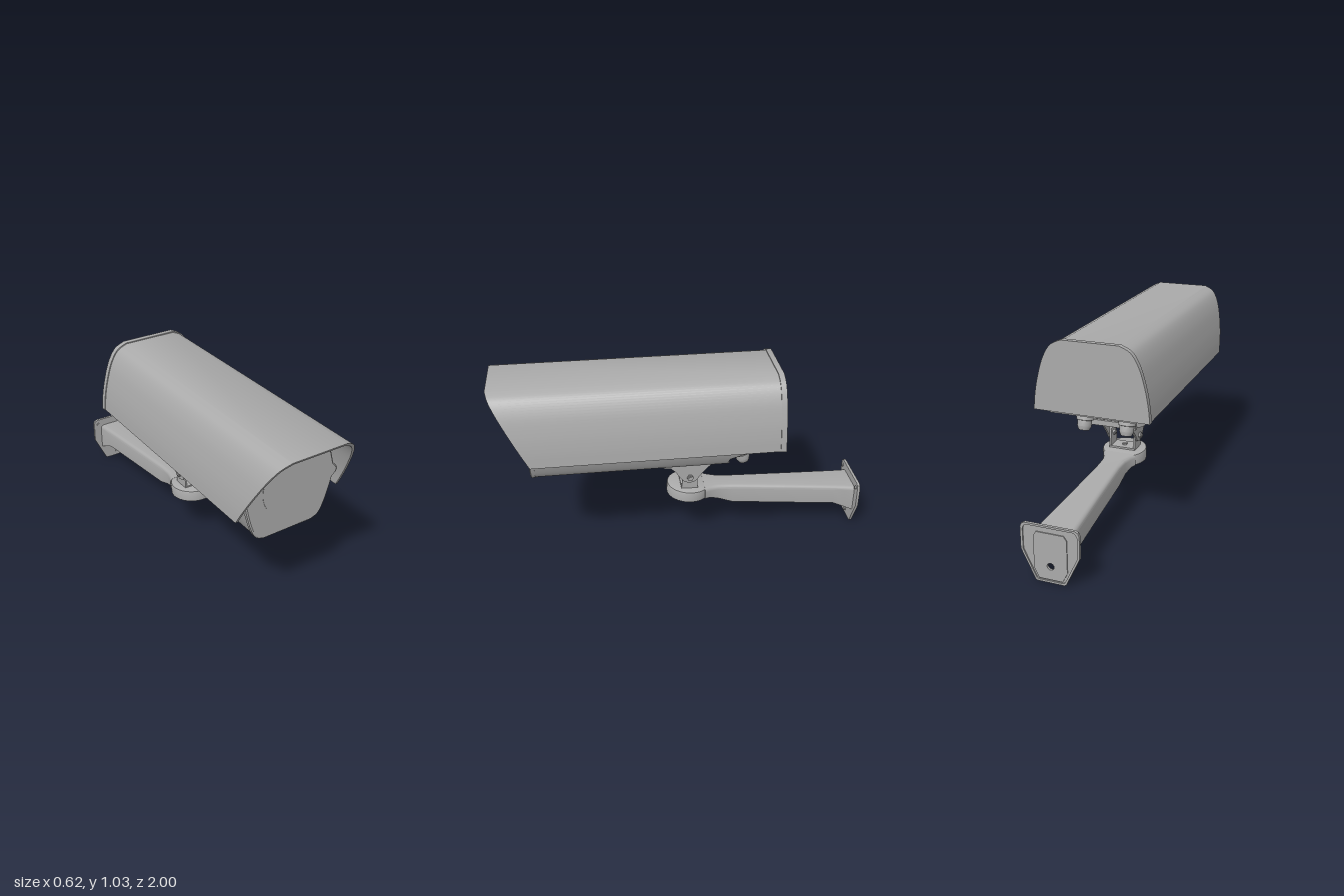
import * as THREE from 'three';
import { toCreasedNormals } from 'three/addons/utils/BufferGeometryUtils.js';

const metal = new THREE.MeshStandardMaterial({ color: 0xaaaaaa, side: THREE.DoubleSide });
metal.name = 'grey metal';

const V2 = (p) => new THREE.Vector2(p[0], p[1]);
const mirror = (half) => [...half, ...half.slice().reverse().map((p) => V2([-p.x, p.y]))];
const spline = (pts, n) => new THREE.SplineCurve(pts.map(V2)).getPoints(n);

// Skins counter-clockwise rings of Vector3 (ascending z) and caps both ends
function loft(rings, crease = 0.5) {
  const n = rings[0].length, pos = [], idx = [];
  rings.forEach((r) => r.forEach((p) => pos.push(p.x, p.y, p.z)));
  for (let i = 0; i < rings.length - 1; i++) {
    for (let j = 0; j < n; j++) {
      const a = i * n + j, b = i * n + (j + 1) % n;
      idx.push(a, b, b + n, a, b + n, a + n);
    }
  }
  const last = (rings.length - 1) * n;
  THREE.ShapeUtils.triangulateShape(rings[rings.length - 1].map((p) => V2([p.x, p.y])), [])
    .forEach(([a, b, c]) => idx.push(a + last, b + last, c + last, a, c, b));
  const g = new THREE.BufferGeometry();
  g.setAttribute('position', new THREE.Float32BufferAttribute(pos, 3));
  g.setIndex(idx);
  return toCreasedNormals(g, crease);
}

const ring = (profile, z, k = 1, cy = 0) => profile.map((p) =>
  new THREE.Vector3(p.x * k, cy + (p.y - cy) * k, typeof z === 'function' ? z(p) : z));

function plate(shape, depth, z) {
  const g = new THREE.ExtrudeGeometry(shape, { depth, bevelEnabled: false, curveSegments: 16 });
  return toCreasedNormals(g.translate(0, 0, z), 0.5);
}

// Plate drawn in (z, y) and centred on x
function sidePlate(shape, depth, x) {
  return plate(shape, depth, -depth / 2).rotateY(-Math.PI / 2).translate(x, 0, 0);
}

function circleHole(x, y, r) {
  return new THREE.Path().absarc(x, y, r, 0, Math.PI * 2, true);
}

export function createModel() {
  const group = new THREE.Group();
  const add = (name, geo, parent = group) => {
    const m = new THREE.Mesh(geo, metal);
    m.name = name;
    parent.add(m);
    return m;
  };
  const box = (name, w, h, d, x, y, z) =>
    add(name, new THREE.BoxGeometry(w, h, d)).position.set(x, y, z);
  const bolt = (name, r, len, axis, x, y, z, sides = 6) => {
    const m = add(name, toCreasedNormals(new THREE.CylinderGeometry(r, r, len, sides), 0.5));
    if (axis === 'x') m.rotation.z = Math.PI / 2;
    if (axis === 'z') m.rotation.x = Math.PI / 2;
    m.position.set(x, y, z);
  };

  // Sun hood: thin arch whose front edge is cut on a slant
  const arch = mirror(spline([[0.305, 0.66], [0.297, 0.74], [0.28, 0.83], [0.25, 0.93],
    [0.208, 1.0], [0.15, 1.03]], 30));
  const inner = arch.map((p) => V2([p.x * 0.957, 0.66 + (p.y - 0.66) * 0.965])).reverse();
  const hoodProfile = [...arch, ...inner];
  add('hood', loft([ring(hoodProfile, -0.49), ring(hoodProfile, (p) => 1 - (1.03 - p.y) * 0.515)]));
  add('hoodBackCap', loft([ring(arch, -0.508, 1.015, 0.66), ring(arch, -0.478, 1.015, 0.66)]));

  // Housing with side ribs; its underside rises toward the back
  const body = mirror([
    ...spline([[0.14, 0.515], [0.185, 0.535], [0.215, 0.59], [0.24, 0.67], [0.253, 0.725]], 20),
    ...spline([[0.262, 0.732], [0.277, 0.75], [0.277, 0.77], [0.262, 0.79]], 8),
    ...spline([[0.253, 0.8], [0.232, 0.87], [0.205, 0.945], [0.175, 0.985], [0.135, 1.002]], 20),
  ]);
  const floor = (z) => (z < -0.23 ? 0.575 + (-0.24 - z) * 0.285 : 0);
  add('housing', loft([-0.485, -0.24, -0.225, 0.8].map((z) =>
    ring(body, z).map((p) => p.setY(Math.max(p.y, floor(z)))))));
  add('frontRim', loft([ring(body, 0.795, 1.012, 0.76), ring(body, 0.815, 1.012, 0.76),
    ring(body, 0.82, 0.985, 0.76)]));
  add('window', new THREE.CylinderGeometry(0.163, 0.163, 0.004, 64).rotateX(Math.PI / 2))
    .position.set(0, 0.77, 0.82);
  box('hoodClip', 0.022, 0.02, 0.04, 0, 1.01, 0.79);
  box('rearLip', 0.28, 0.03, 0.02, 0, 0.522, -0.232);

  // Cable glands on the sloped underside
  const gland = [[0, 0.02], [0.036, 0.02], [0.036, -0.012], [0.046, -0.012], [0.046, -0.036],
    [0.038, -0.038], [0.038, -0.068], [0.028, -0.09], [0.014, -0.09], [0.012, -0.07], [0, -0.07]];
  for (const s of [-1, 1]) {
    const g = add('cableGland', toCreasedNormals(new THREE.LatheGeometry(gland.map(V2), 20), 0.5));
    g.position.set(s * 0.118, 0.592, -0.3);
    g.rotation.x = 0.28;
  }

  // Tilt bracket: upper ears hang from the housing, lower ears stand on the arm
  const upper = new THREE.Shape([[0.125, 0.515], [0.12, 0.475], [0.105, 0.462], [0.07, 0.458],
    [0.045, 0.435], [0.02, 0.395], [-0.005, 0.368], [-0.035, 0.36], [-0.065, 0.37],
    [-0.1, 0.415], [-0.135, 0.455], [-0.175, 0.49], [-0.182, 0.515]].map(V2));
  const lower = new THREE.Shape();
  lower.moveTo(-0.08, 0.318).lineTo(0.012, 0.318).lineTo(0.005, 0.395);
  lower.absarc(-0.035, 0.405, 0.04, 0, Math.PI, false);
  lower.closePath();
  for (const s of [-1, 1]) {
    add('upperEar', sidePlate(upper, 0.01, s * 0.082));
    add('lowerEar', sidePlate(lower, 0.01, s * 0.07));
    bolt('tiltBoltShaft', 0.01, 0.05, 'x', s * 0.077, 0.395, -0.035, 16);
    bolt('tiltBoltHead', 0.018, 0.01, 'x', s * 0.092, 0.395, -0.035);
    bolt('tiltBoltNut', 0.018, 0.01, 'x', s * 0.06, 0.395, -0.035);
  }
  box('upperBracketPlate', 0.172, 0.012, 0.305, 0, 0.51, -0.028);
  box('lowerBracketPlate', 0.15, 0.01, 0.092, 0, 0.322, -0.034);
  bolt('panBolt', 0.014, 0.09, 'y', 0, 0.29, -0.035);
  bolt('housingBolt', 0.015, 0.012, 'y', 0, 0.5, -0.02);

  // Round arm head, hollow below
  const cup = [[0.12, -0.032], [0.122, 0.02], [0.119, 0.028], [0.11, 0.032], [0, 0.032],
    [0, 0.02], [0.106, 0.02], [0.106, -0.032], [0.12, -0.032]].map(V2);
  const head = add('armHead', toCreasedNormals(new THREE.LatheGeometry(cup, 48), 0.5));
  head.position.set(0, 0.284, -0.035);
  head.rotation.x = -0.06;

  // Wall arm: channel open below, widening toward the wall
  const t = 0.012, r = 0.022;
  const channel = ([z, w, top, bottom]) => {
    const half = (hw, y, rad) => [V2([hw, bottom]), ...[0, 1, 2, 3, 4].map((i) => {
      const a = i * Math.PI / 8;
      return V2([hw - rad + rad * Math.cos(a), y - rad + rad * Math.sin(a)]);
    })];
    return ring([...mirror(half(w, top, r)), ...mirror(half(w - t, top - t, r - t)).reverse()], z);
  };
  add('wallArm', loft([[-0.988, 0.103, 0.255, 0.1], [-0.93, 0.098, 0.259, 0.126],
    [-0.87, 0.094, 0.263, 0.152], [-0.58, 0.078, 0.283, 0.172], [-0.28, 0.064, 0.303, 0.195],
    [-0.2, 0.066, 0.308, 0.226], [-0.15, 0.08, 0.311, 0.246], [-0.12, 0.095, 0.312, 0.25],
  ].map(channel)));

  // Wall plate with a raised rim and centre tongue at the back
  const outline = [[0.068, 0.004], [0.078, 0.008], [0.15, 0.16], [0.15, 0.275], [0.143, 0.292],
    [0.128, 0.3]].map(V2);
  const wall = new THREE.Shape(mirror(outline));
  wall.holes.push(circleHole(0, 0.09, 0.018));
  add('wallPlate', plate(wall, 0.008, -0.993));
  const rim = new THREE.Shape(mirror(outline));
  rim.holes.push(new THREE.Path(mirror(outline).map((p) =>
    V2([p.x * 0.92, 0.155 + (p.y - 0.155) * 0.93])).reverse()));
  add('wallPlateRim', plate(rim, 0.008, -1));
  const tongue = new THREE.Shape(mirror([[0.06, 0.02], [0.085, 0.07], [0.085, 0.24], [0.07, 0.262]].map(V2)));
  tongue.holes.push(circleHole(0, 0.09, 0.018));
  add('wallPlateTongue', plate(tongue, 0.006, -0.998));
  for (const [x, y] of [[0.122, 0.268], [-0.122, 0.268], [0, 0.035]]) {
    bolt('wallBolt', 0.01, 0.01, 'z', x, y, -0.982, 16);
  }
  return group;
}
